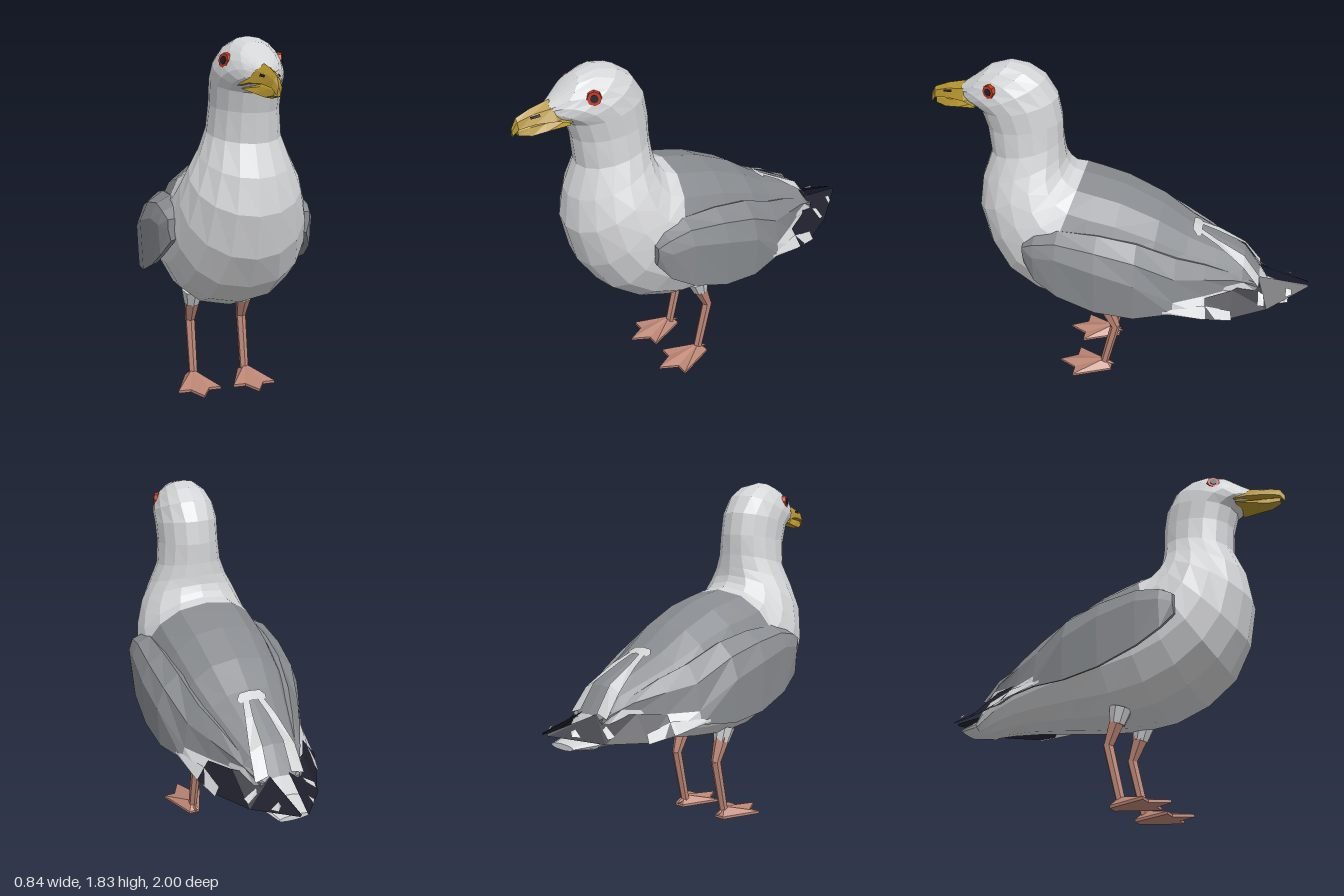
import * as THREE from 'three';

const mat = (name, color) =>
  new THREE.MeshStandardMaterial({ name, color, flatShading: true, side: THREE.DoubleSide });

// Closed skin through equal-sized rings of [x,y,z]; pick(i,j) gives the material index of a face.
function loft(rings, pick = () => 0) {
  const buckets = [[], []];
  const n = rings[0].length;
  let volume = 0;
  const tri = (k, a, b, c) => {
    const [A, B, C] = [a, b, c].map(p => new THREE.Vector3(...p));
    volume += A.dot(B.cross(C));
    buckets[k].push([a, b, c]);
  };
  for (let i = 0; i < rings.length - 1; i++) {
    for (let j = 0; j < n; j++) {
      const k = pick(i, j), m = (j + 1) % n;
      const a = rings[i][j], b = rings[i][m], c = rings[i + 1][m], d = rings[i + 1][j];
      tri(k, a, b, c);
      tri(k, a, c, d);
    }
  }
  for (const end of [0, rings.length - 1]) {
    const r = rings[end];
    const mid = [0, 1, 2].map(k => r.reduce((s, p) => s + p[k], 0) / n);
    for (let j = 0; j < n; j++) {
      const m = (j + 1) % n;
      if (end) tri(0, mid, r[j], r[m]); else tri(0, mid, r[m], r[j]);
    }
  }
  const flip = volume < 0;
  const flat = buckets.map(b => b.flatMap(([p, q, r]) => (flip ? [p, r, q] : [p, q, r]).flat()));
  const g = new THREE.BufferGeometry();
  g.setAttribute('position', new THREE.Float32BufferAttribute(flat.flat(), 3));
  g.addGroup(0, flat[0].length / 3, 0);
  g.addGroup(flat[0].length / 3, flat[1].length / 3, 1);
  g.computeVertexNormals();
  return g;
}

// Open ribbon between two edges, given as rows of [pointA, pointB].
function strip(rows) {
  const pos = [];
  for (let i = 0; i < rows.length - 1; i++) {
    const [a, b] = rows[i], [d, c] = rows[i + 1];
    pos.push(...a, ...b, ...c, ...a, ...c, ...d);
  }
  const g = new THREE.BufferGeometry();
  g.setAttribute('position', new THREE.Float32BufferAttribute(pos, 3));
  g.computeVertexNormals();
  return g;
}

// Tapered rod from a to b.
function rod(a, b, ra, rb, sides = 6) {
  const A = new THREE.Vector3(...a), B = new THREE.Vector3(...b);
  const d = B.clone().sub(A);
  const g = new THREE.CylinderGeometry(rb, ra, d.length(), sides);
  g.applyQuaternion(new THREE.Quaternion().setFromUnitVectors(new THREE.Vector3(0, 1, 0), d.normalize()));
  return g.translate(...A.add(B).multiplyScalar(0.5).toArray());
}

export function createModel() {
  const white = mat('whitePlumage', 0xd3d4d6);
  const grey = mat('greyPlumage', 0x888b8f);
  const black = mat('blackFeather', 0x20202d);
  const yellow = mat('beakYellow', 0xb0902c);
  const pink = mat('legPink', 0xbd8675);
  const red = mat('eyeRed', 0xc0351c);

  const model = new THREE.Group();
  model.name = 'gull';
  const add = (name, geometry, material, parent = model) => {
    const m = new THREE.Mesh(geometry, material);
    m.name = name;
    parent.add(m);
    return m;
  };

  // Body, neck and head: [back z, back y, belly z, belly y, half width] from tail to face
  const N = 16;
  const body = [
    [-0.9, 0.585, -0.9, 0.555, 0.08], [-0.78, 0.615, -0.78, 0.535, 0.12],
    [-0.735, 0.7, -0.735, 0.532, 0.13], [-0.645, 0.83, -0.645, 0.53, 0.16],
    [-0.5, 0.905, -0.5, 0.525, 0.21], [-0.35, 0.985, -0.33, 0.505, 0.26],
    [-0.2, 1.09, -0.12, 0.475, 0.31], [0, 1.185, 0.1, 0.453, 0.335],
    [0.13, 1.22, 0.3, 0.472, 0.345], [0.22, 1.24, 0.48, 0.54, 0.345],
    [0.27, 1.255, 0.64, 0.66, 0.335], [0.295, 1.28, 0.74, 0.82, 0.31],
    [0.31, 1.315, 0.785, 1.03, 0.27], [0.315, 1.36, 0.76, 1.2, 0.22],
    [0.32, 1.43, 0.7, 1.35, 0.178], [0.32, 1.54, 0.71, 1.49, 0.165],
    [0.34, 1.66, 0.735, 1.58, 0.167], [0.4, 1.755, 0.77, 1.6, 0.162],
    [0.48, 1.81, 0.8, 1.61, 0.143], [0.57, 1.83, 0.82, 1.62, 0.115],
    [0.67, 1.805, 0.83, 1.63, 0.085], [0.76, 1.74, 0.835, 1.645, 0.055],
    [0.82, 1.7, 0.835, 1.66, 0.035],
  ].map(([zt, yt, zb, yb, w], i) => Array.from({ length: N }, (_, j) => {
    const a = j / N * Math.PI * 2, c = Math.cos(a) / 2, s = Math.sin(a);
    // broader back, belly and crown
    const broad = c > 0.01 ? (i > 1 && i < 10) || i > 16 : i > 3 && i < 11;
    const x = w * Math.sign(s) * Math.abs(s) ** (broad ? 0.85 : 1);
    return [x, (yt + yb) / 2 + c * (yt - yb), (zt + zb) / 2 + c * (zt - zb)];
  }));
  add('body', loft(body, (i, j) => (i >= 2 && i < 9 && (j < 3 || j >= N - 3) ? 1 : 0)), [white, grey]);

  // Beak: [z, top y, bottom y, half width]
  const beak = rows => loft(rows.map(([z, t, b, w]) => [
    [0, t, z], [w * 0.6, t - (t - b) * 0.3, z], [w, b + (t - b) * 0.1, z],
    [0, b, z], [-w, b + (t - b) * 0.1, z], [-w * 0.6, t - (t - b) * 0.3, z]]));
  add('upperBeak', beak([[0.745, 1.65, 1.612, 0.1], [0.81, 1.712, 1.62, 0.073],
    [0.9, 1.693, 1.622, 0.044], [0.975, 1.665, 1.61, 0.024], [1, 1.62, 1.58, 0.008]]), yellow);
  add('lowerBeak', beak([[0.75, 1.62, 1.6, 0.085], [0.85, 1.63, 1.58, 0.053],
    [0.92, 1.627, 1.568, 0.034], [0.975, 1.612, 1.58, 0.015]]), yellow);

  // White crossbar where the folded wings meet
  add('rumpBar', strip([[[-0.078, 0.958, -0.39], [-0.07, 0.948, -0.408]],
    [[-0.055, 0.978, -0.365], [-0.05, 0.95, -0.415]], [[0, 0.984, -0.365], [0, 0.958, -0.413]],
    [[0.055, 0.978, -0.365], [0.05, 0.95, -0.415]], [[0.078, 0.958, -0.39], [0.07, 0.948, -0.408]]]), white);

  // Parts that come in pairs: s = 1 is the left side, -1 the right
  for (const s of [1, -1]) {
    const side = s > 0 ? 'left' : 'right';
    const half = new THREE.Group();
    half.name = side + 'Side';
    model.add(half);
    const X = p => [p[0] * s, p[1], p[2]];
    const ribbon = (name, rows, m) => add(name, strip(rows.map(r => r.map(X))), m, half);

    // Folded wing: [z, top x, y, middle x, y, lower x, y]
    const wing = [
      [0.48, 0.32, 0.98, 0.36, 0.93, 0.345, 0.87], [0.42, 0.31, 1.03, 0.395, 0.94, 0.385, 0.79],
      [0.3, 0.305, 1.06, 0.41, 0.95, 0.405, 0.71], [0.1, 0.3, 1.05, 0.422, 0.9, 0.41, 0.635],
      [-0.1, 0.285, 1.01, 0.405, 0.83, 0.395, 0.607], [-0.3, 0.25, 0.92, 0.33, 0.69, 0.345, 0.625],
      [-0.45, 0.2, 0.86, 0.25, 0.69, 0.308, 0.615], [-0.6, 0.145, 0.78, 0.165, 0.695, 0.19, 0.635],
      [-0.74, 0.07, 0.675, 0.1, 0.665, 0.11, 0.65],
    ].map(([z, tx, ty, mx, my, bx, by]) => [
      [tx, ty, z], [(tx + mx) / 2 + 0.02, (ty + my) / 2 + 0.02, z], [mx, my, z], [bx, by, z],
      [bx - 0.03, by + 0.012, z], [Math.max(tx - 0.08, 0.02), ty - 0.04, z]].map(X));
    add('wing', loft(wing, (i, j) => (i >= 5 && j === 2 ? 1 : 0)), [grey, white], half);

    // Long flight feathers crossing over the tail
    ribbon('paleFeather', [[[0.358, 0.65, -0.25], [0.36, 0.635, -0.25]],
      [[0.29, 0.66, -0.45], [0.33, 0.6, -0.45]], [[0.26, 0.62, -0.6], [0.285, 0.575, -0.61]]], white);
    ribbon('wingTip', [[[0.262, 0.69, -0.46], [0.328, 0.6, -0.475]],
      [[0.19, 0.703, -0.6], [0.275, 0.578, -0.6]], [[0.05, 0.705, -0.73], [0.18, 0.59, -0.79]],
      [[0.015, 0.655, -1], [0.022, 0.645, -1]]], black);
    ribbon('innerTipSpot', [[[0.125, 0.66, -0.735], [0.19, 0.62, -0.74]],
      [[0.13, 0.65, -0.765], [0.18, 0.61, -0.775]]], white);
    ribbon('outerTipSpot', [[[0.075, 0.665, -0.88], [0.115, 0.63, -0.88]],
      [[0.075, 0.66, -0.91], [0.09, 0.635, -0.915]]], white);
    ribbon('rumpStripe', [[[0.02, 0.962, -0.405], [0.055, 0.957, -0.405]],
      [[0.04, 0.913, -0.5], [0.082, 0.909, -0.5]], [[0.055, 0.838, -0.645], [0.12, 0.805, -0.645]],
      [[0.06, 0.712, -0.735], [0.13, 0.69, -0.735]]], white);

    // Eye and nostril
    const eye = new THREE.Group();
    eye.name = 'eye';
    eye.position.set(0.13 * s, 1.722, 0.65);
    eye.rotation.set(0, -s * 0.42, -s * (Math.PI / 2 - 0.12), 'YXZ');
    half.add(eye);
    add('iris', new THREE.CylinderGeometry(0.033, 0.037, 0.02, 8), red, eye);
    add('pupil', new THREE.CylinderGeometry(0.019, 0.019, 0.004, 8), black, eye).position.y = 0.011;
    ribbon('nostril', [[[0.04, 1.672, 0.875], [0.044, 1.66, 0.875]],
      [[0.034, 1.667, 0.92], [0.036, 1.656, 0.92]]], black);

    // Leg
    const x = 0.145;
    add('thigh', rod(X([x, 0.51, 0.105]), X([x, 0.43, 0.083]), 0.06, 0.042, 8), white, half);
    add('upperLeg', rod(X([x, 0.46, 0.09]), X([x, 0.32, 0.035]), 0.045, 0.026), pink, half);
    add('lowerLeg', rod(X([x, 0.33, 0.035]), X([x, 0.03, 0.105]), 0.027, 0.024), pink, half);
    add('backToe', rod(X([x, 0.035, 0.1]), X([x, 0.02, 0.045]), 0.015, 0.004, 5), pink, half);

    // Webbed foot
    const outline = [[-0.03, 0.06], [-0.115, 0.27], [-0.05, 0.27], [0, 0.365],
      [0.05, 0.27], [0.115, 0.27], [0.03, 0.06]];
    const ring = (k, y) => outline.map(([u, z]) => X([x + 0.005 + u * k, y, 0.1 + (z - 0.1) * k]));
    add('foot', loft([ring(1, 0), ring(1, 0.014), ring(0.15, 0.052)]), pink, half);
  }
  return model;
}
